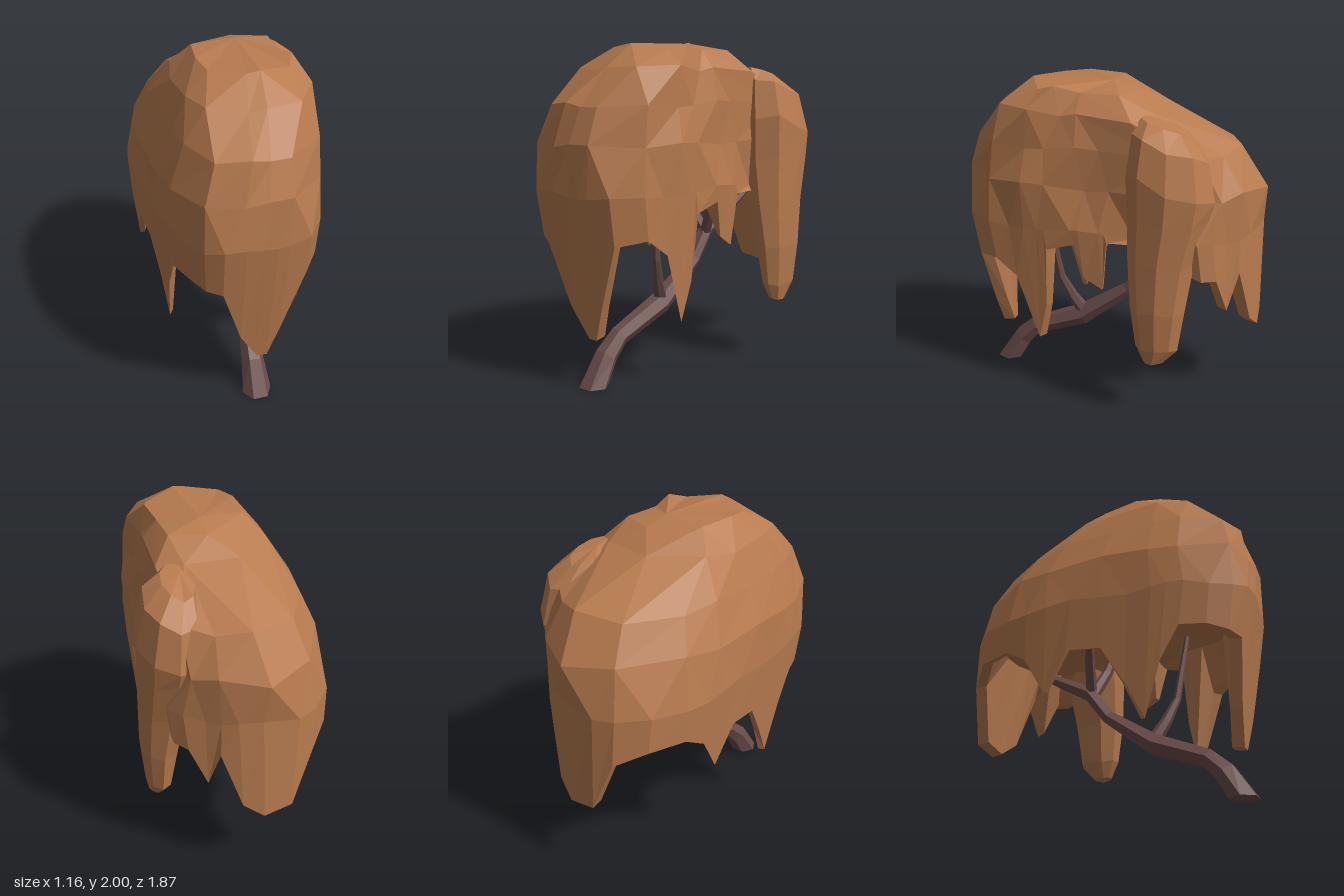
import * as THREE from 'three';

const V = (x, y, z) => new THREE.Vector3(x, y, z);

// Skin a list of rings (counter-clockwise from above, bottom to top) with flat facets.
// A ring may repeat points, which drops columns and gives larger facets.
function loft(rings, material, name) {
  const pos = [];
  const tri = (a, b, c) => {
    const area = b.clone().sub(a).cross(c.clone().sub(a)).length();
    if (area > 1e-7) for (const p of [a, b, c]) pos.push(p.x, p.y, p.z);
  };
  for (let i = 0; i < rings.length - 1; i++) {
    const lo = rings[i], hi = rings[i + 1], n = lo.length;
    for (let j = 0; j < n; j++) {
      const k = (j + 1) % n;
      tri(lo[j], lo[k], hi[k]);
      tri(lo[j], hi[k], hi[j]);
    }
  }
  const g = new THREE.BufferGeometry();
  g.setAttribute('position', new THREE.Float32BufferAttribute(pos, 3));
  g.computeVertexNormals();
  const mesh = new THREE.Mesh(g, material);
  mesh.name = name;
  return mesh;
}

// Canopy outline from the front centre round by +x: x, z, height of the ragged hem
const HEM = [
  [-0.07, 0.93, 0.29], [0, 0.93, 0.29], [0.07, 0.92, 0.48], [0.2, 0.88, 0.87],
  [0.32, 0.72, 0.9], [0.35, 0.59, 0.8], [0.38, 0.49, 0.38], [0.385, 0.4, 0.62],
  [0.385, 0.35, 1.02], [0.385, 0.17, 1.07], [0.385, 0.12, 0.85], [0.385, 0, 0.78],
  [0.385, -0.03, 1.1], [0.38, -0.2, 1.1], [0.45, -0.45, 1.0], [0.47, -0.61, 0.94],
  [0.41, -0.69, 0.93], [0.33, -0.75, 0.7], [0.26, -0.81, 0.93], [0.16, -0.88, 0.58],
  [0.03, -0.92, 0.49], [-0.17, -0.92, 0.52], [-0.3, -0.88, 0.85], [-0.45, -0.74, 0.93],
  [-0.54, -0.52, 0.93], [-0.57, -0.38, 0.85], [-0.58, -0.25, 0.62], [-0.58, -0.1, 0.85],
  [-0.57, 0.12, 0.83], [-0.56, 0.28, 0.6], [-0.56, 0.42, 0.38], [-0.55, 0.5, 0.7],
  [-0.53, 0.6, 0.9], [-0.48, 0.75, 0.9], [-0.41, 0.87, 0.87], [-0.32, 0.92, 0.85],
  [-0.2, 0.93, 0.48],
];

function canopy(material) {
  const CX = -0.1;
  const scaled = (x, z, sx, sz, y) => V(CX + (x - CX) * sx, y, z * sz);
  // the hem leans inward as it hangs, except at the back
  const taper = (y) => 1 - 0.14 * Math.max(0, 1.08 - y) / 0.75;
  const taperZ = (z, y) => (z > 0 ? taper(y) : 1);
  // ring fitted into the box x0..x1, z0..z1; step drops columns, the right rear corner is slimmer
  const fitted = ([y, x0, x1, z0, z1, step]) => HEM.map((_, j) => {
    const [x, z] = HEM[j - j % step];
    const bump = 0.018 * Math.sin(x * 11 + z * 9 + y * 13);
    const slim = x < 0 && z < 0 && y > 1.2 ? 1 - 0.28 * x * z : 1;
    return V((x0 + (x + 0.58) / 0.965 * (x1 - x0) * (1 + bump)) * slim, y + bump,
      (z0 + (z + 0.92) / 1.85 * (z1 - z0) + bump * 0.5) * slim);
  });
  const rings = [
    HEM.map(() => V(CX, 1.21, 0)),                                              // ceiling
    HEM.map(([x, z, y]) => scaled(x, z, 0.67, 0.81, Math.max(1.1, y + 0.04))),  // inner wall
    HEM.map(([x, z, y]) => scaled(x, z, taper(y) - 0.06, taperZ(z, y) - 0.08, y + 0.01)),
    HEM.map(([x, z, y]) => scaled(x, z, taper(y), taperZ(z, y), y)),            // outer hem
    ...[
      [1.15, -0.58, 0.38, -0.9, 0.94, 1],
      [1.42, -0.57, 0.37, -0.92, 0.925, 2],
      [1.65, -0.48, 0.355, -0.77, 0.87, 2],
      [1.85, -0.39, 0.33, -0.34, 0.69, 3],
      [1.975, -0.27, 0.26, -0.15, 0.5, 4],
    ].map(fitted),
    HEM.map(() => V(0.04, 2, 0)),
  ];
  return loft(rings, material, 'canopy');
}

// Drooping clump on the model's left side: y, centre x, centre z, radius x, radius z
function sideClump(material) {
  const n = 9;
  const rings = [
    [0.38, 0.49, -0.34, 0, 0], [0.4, 0.48, -0.34, 0.045, 0.06],
    [0.5, 0.47, -0.36, 0.08, 0.13], [0.75, 0.46, -0.36, 0.115, 0.165],
    [1.05, 0.42, -0.37, 0.16, 0.2], [1.3, 0.39, -0.4, 0.195, 0.24],
    [1.55, 0.39, -0.41, 0.195, 0.26], [1.77, 0.37, -0.4, 0.155, 0.22],
    [1.85, 0.32, -0.36, 0.09, 0.14], [1.86, 0.29, -0.32, 0, 0],
  ].map(([y, cx, cz, rx, rz], i) => Array.from({ length: n }, (_, j) => {
    const a = (j + 0.25) / n * Math.PI * 2;
    const z = cz + rz * Math.cos(a);
    // the crown of the clump slopes down towards the back
    const slope = y > 1.5 ? 0.35 * (z + 0.27) : 0;
    return V(cx + rx * Math.sin(a), y + Math.min(0, slope) + rx * 0.1 * Math.sin(j * 2.3 + i), z);
  }));
  return loft(rings, material, 'sideClump');
}

// Tapered six-sided limb; path entries are x, y, z, radius
function limb(path, material, name, onGround = false) {
  const pts = path.map(([x, y, z]) => V(x, y, z)), last = pts.length - 1;
  const rings = pts.map((p, i) => {
    const t = onGround && i === 0 ? V(0, 1, 0)
      : pts[Math.min(i + 1, last)].clone().sub(pts[Math.max(i - 1, 0)]).normalize();
    const side = V(1, 0, 0).addScaledVector(t, -t.x).normalize();
    const nrm = side.clone().cross(t);
    return Array.from({ length: 6 }, (_, j) => {
      const a = (j + 0.5) / 6 * Math.PI * 2, r = path[i][3];
      return p.clone().addScaledVector(side, r * Math.sin(a)).addScaledVector(nrm, r * Math.cos(a));
    });
  });
  rings.unshift(rings[0].map(() => pts[0]));
  rings.push(rings[last + 1].map(() => pts[last]));
  return loft(rings, material, name);
}

export function createModel() {
  const foliage = new THREE.MeshStandardMaterial({ color: 0xb87b4f });
  foliage.name = 'autumnFoliage';
  const bark = new THREE.MeshStandardMaterial({ color: 0x6b4d49 });
  bark.name = 'bark';

  const tree = new THREE.Group();
  tree.name = 'weepingTree';
  tree.add(
    canopy(foliage),
    sideClump(foliage),
    limb([[-0.065, 0, 0.77, 0.09], [-0.06, 0.16, 0.67, 0.07], [-0.05, 0.26, 0.57, 0.06],
      [-0.02, 0.4, 0.23, 0.07], [0, 0.63, -0.08, 0.045], [0, 0.81, -0.21, 0.05],
      [0.03, 1.0, -0.55, 0.03], [0.03, 1.12, -0.7, 0.015]], bark, 'trunk', true),
    limb([[-0.02, 0.42, 0.22, 0.045], [0.02, 0.55, 0.29, 0.035], [0.06, 0.7, 0.35, 0.025],
      [0.1, 1.15, 0.42, 0.015]], bark, 'frontBranch'),
    limb([[0, 0.78, -0.2, 0.04], [0.1, 0.98, -0.14, 0.035], [0.18, 1.25, -0.08, 0.02]],
      bark, 'leftBranch'),
    limb([[0, 0.8, -0.2, 0.035], [-0.12, 1.0, -0.16, 0.03], [-0.25, 1.22, -0.1, 0.02]],
      bark, 'rightBranch'),
  );
  return tree;
}
